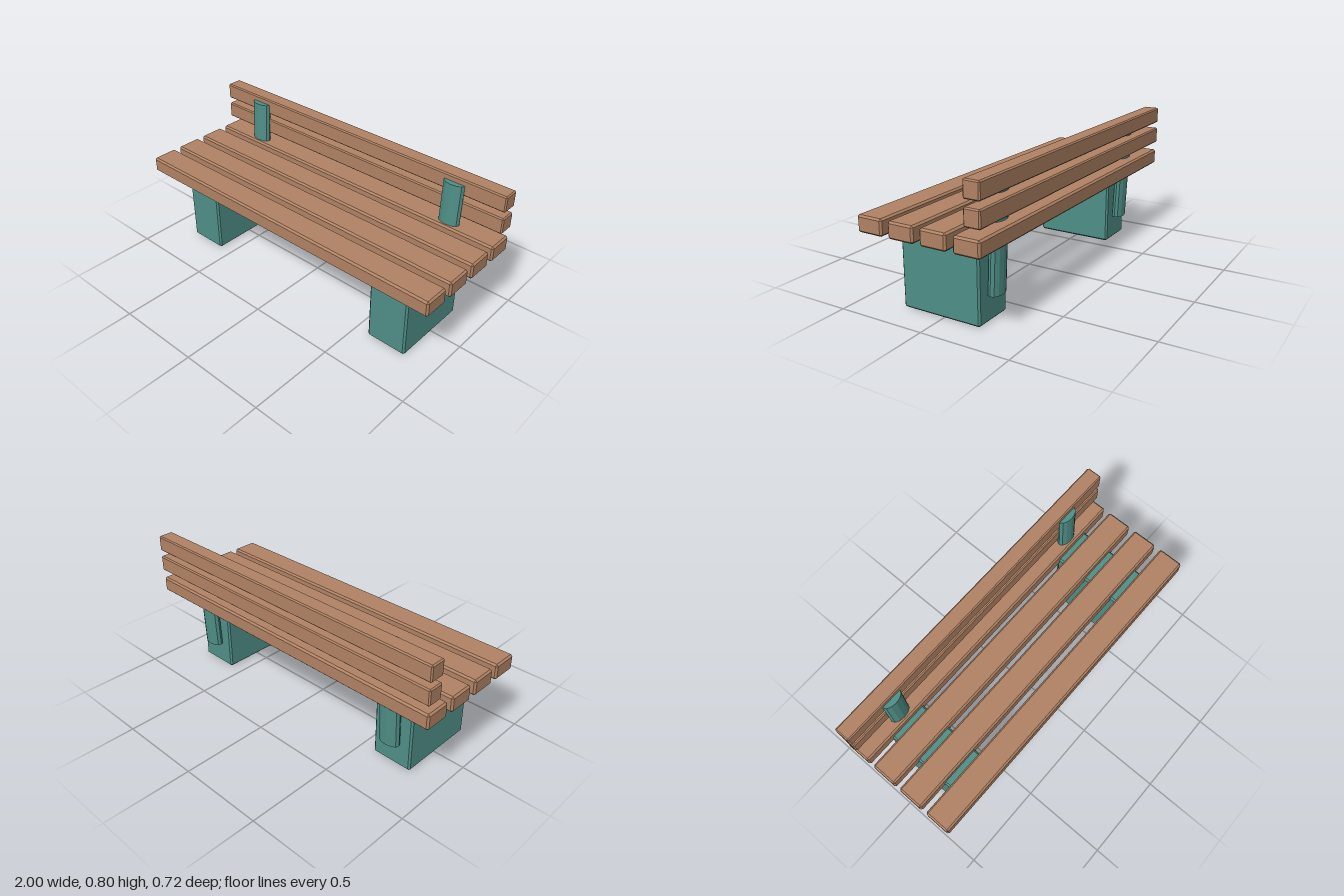
import * as THREE from 'three';
import { ConvexGeometry } from 'three/addons/geometries/ConvexGeometry.js';

// Box with a flat chamfer c on every edge
function chamferBox(w, h, d, c) {
  const points = [];
  for (const x of [-1, 1]) for (const y of [-1, 1]) for (const z of [-1, 1]) {
    const [a, b, e] = [w / 2, h / 2, d / 2];
    points.push(
      new THREE.Vector3(x * a, y * (b - c), z * (e - c)),
      new THREE.Vector3(x * (a - c), y * b, z * (e - c)),
      new THREE.Vector3(x * (a - c), y * (b - c), z * e));
  }
  return new ConvexGeometry(points);
}

export function createModel() {
  const wood = new THREE.MeshStandardMaterial({ color: 0xb08264 });
  wood.name = 'wood';
  const paint = new THREE.MeshStandardMaterial({ color: 0x4f8f87 });
  paint.name = 'greenPaint';

  const bench = new THREE.Group();
  bench.name = 'bench';
  function add(name, geometry, material, x, y, z) {
    const mesh = new THREE.Mesh(geometry, material);
    mesh.name = name;
    mesh.position.set(x, y, z);
    bench.add(mesh);
    return mesh;
  }

  // Four seat slats
  const seatSlat = chamferBox(2, 0.09, 0.15, 0.01);
  for (let i = 0; i < 4; i++) add('seatSlat', seatSlat, wood, 0, 0.484, 0.285 - i * 0.188);

  // Two backrest slats
  const backSlat = chamferBox(2, 0.093, 0.092, 0.007);
  for (const y of [0.625, 0.754]) add('backSlat', backSlat, wood, 0, y, -0.313);

  // Block legs and the tilted oval posts that carry the backrest
  const leg = chamferBox(0.238, 0.484, 0.468, 0.01);
  const oval = new THREE.CylinderGeometry(0.063, 0.063, 0.62, 12);
  oval.scale(1, 1, 0.035 / 0.063);
  const post = oval.toNonIndexed();
  post.computeVertexNormals();
  for (const side of [-1, 1]) {
    add('leg', leg, paint, side * 0.7, 0.242, 0.016);
    add('backPost', post, paint, side * 0.7, 0.458, -0.254).rotation.x = -0.04;
  }
  return bench;
}
